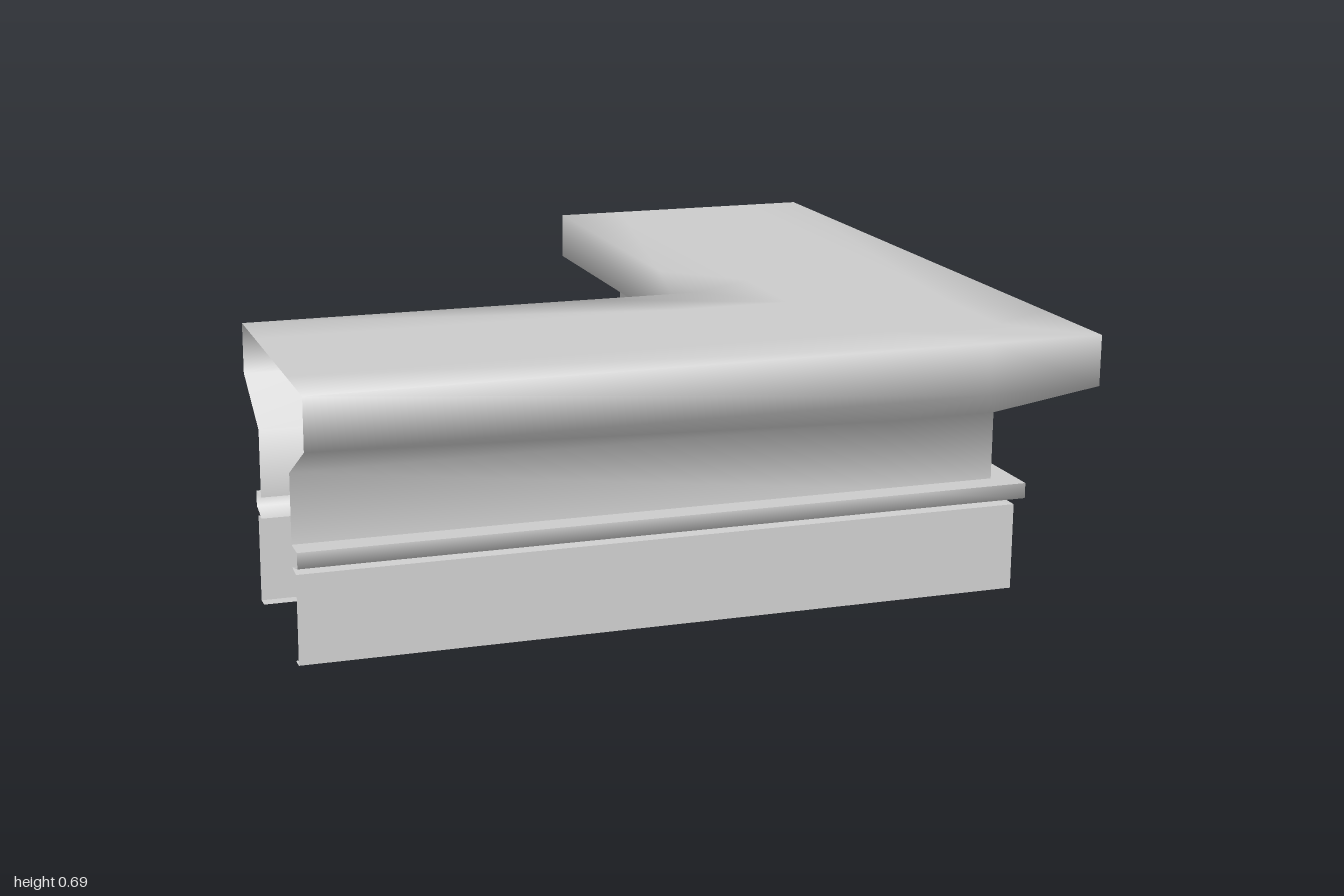
import * as THREE from 'three';

const material = new THREE.MeshStandardMaterial({ color: 0xcccccc, side: THREE.DoubleSide });

// Sweep an open [distance, height] profile round the mitred L-shaped corner.
// Each profile point gives two straight runs that meet on the diagonal.
function sweep(name, profile, smooth) {
  const n = profile.length;
  const stations = [
    d => [-1, d], d => [d - 0.3, d], d => [d, d], d => [d, d - 0.3], d => [d, -1],
  ];
  const positions = [];
  const index = [];
  stations.forEach((at, i) => {
    for (const [d, y] of profile) {
      const [x, z] = at(d);
      positions.push(x, y, z);
    }
    if (i === stations.length - 1) return;
    for (let j = 0; j < n - 1; j++) {
      const a = i * n + j, c = a + n;
      index.push(a, c, a + 1, a + 1, c, c + 1);
    }
  });
  let geometry = new THREE.BufferGeometry();
  geometry.setAttribute('position', new THREE.Float32BufferAttribute(positions, 3));
  geometry.setIndex(index);
  if (!smooth) geometry = geometry.toNonIndexed();
  geometry.computeVertexNormals();
  const mesh = new THREE.Mesh(geometry, material);
  mesh.name = name;
  return mesh;
}

// The inner wall mirrors the outer one about the middle of the moulding.
const mirror = profile => profile.map(([d, y]) => [1.22 - d, y]).reverse();

export function createModel() {
  const group = new THREE.Group();
  group.name = 'cornerMoulding';

  // Softly shaded neck, flared cornice and flat top, as one hollow shell
  const cornice = [[0.81, 0.285], [0.81, 0.46], [1, 0.56], [1, 0.69], [0.81, 0.69]];
  group.add(sweep('cornice', [...cornice, ...mirror(cornice)], true));

  // Parts repeated on the outer and inner walls
  const wallParts = [
    ['ledgeTop', [[0.875, 0.285], [0.81, 0.285]], false],
    ['ledgeBead', [[0.81, 0.23], [0.875, 0.245], [0.875, 0.285]], true],
    // Base board with a narrow lip turned inwards at the bottom
    ['baseBoard', [[0.82, 0], [0.855, 0], [0.855, 0.225], [0.81, 0.23]], false],
  ];
  for (const [name, profile, smooth] of wallParts) {
    group.add(sweep(name + 'Outer', profile, smooth));
    group.add(sweep(name + 'Inner', mirror(profile), smooth));
  }
  return group;
}
